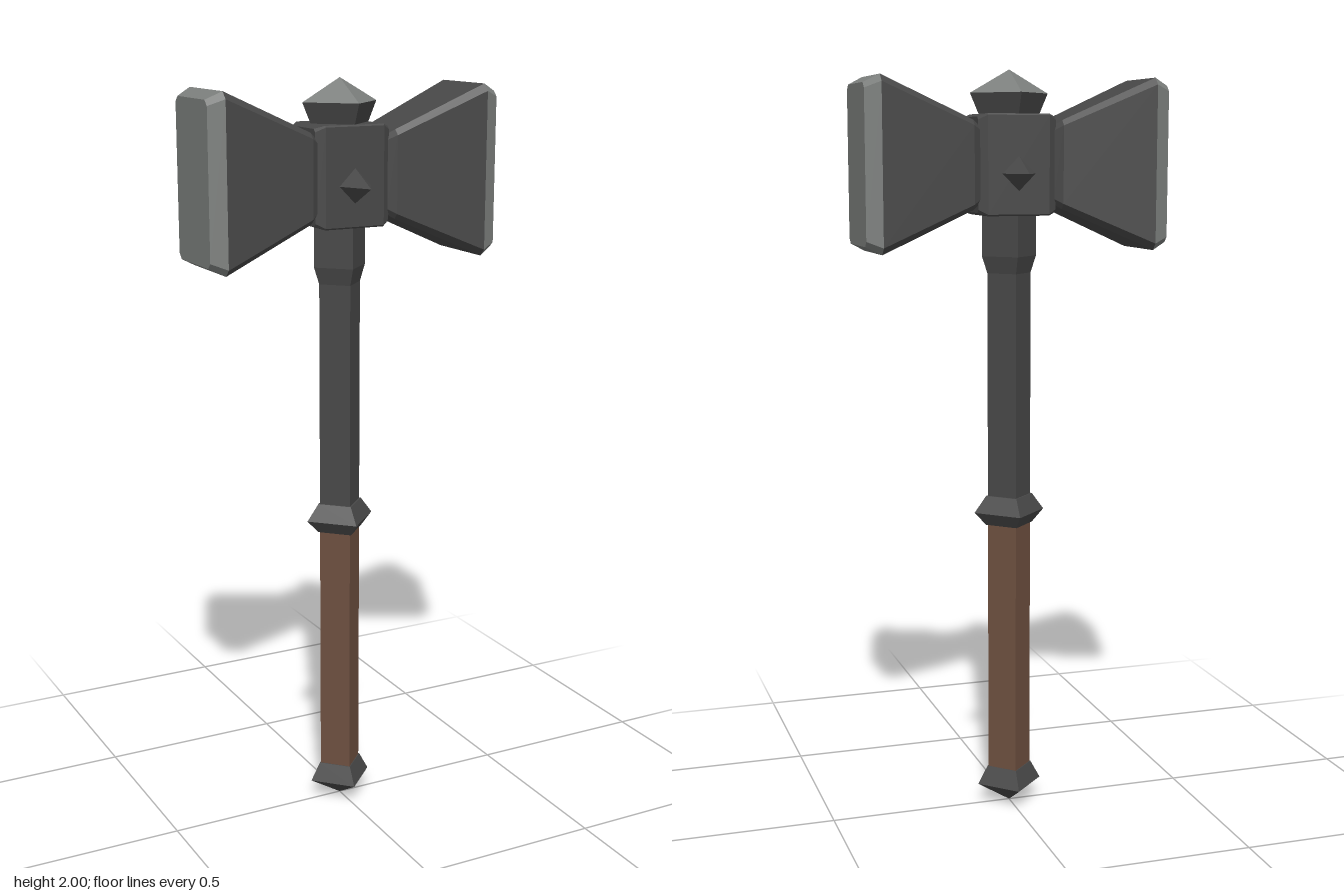
import * as THREE from 'three';

const makeMaterial = (name, color) => {
  const m = new THREE.MeshStandardMaterial({ color, flatShading: true });
  m.name = name;
  return m;
};

// Loft of chamfered rectangles along x; each section is [x, half height, half depth, corner cut]
function loft(sections, capStart, capEnd) {
  const rings = sections.map(([x, h, d, c]) => [
    [-d, -h + c], [-d, h - c], [-d + c, h], [d - c, h],
    [d, h - c], [d, -h + c], [d - c, -h], [-d + c, -h],
  ].map(([z, y]) => [x, y, z]));
  const pos = [];
  const tri = (a, b, c) => pos.push(...a, ...b, ...c);
  for (let i = 0; i < rings.length - 1; i++) {
    const a = rings[i], b = rings[i + 1];
    for (let j = 0; j < 8; j++) {
      const k = (j + 1) % 8;
      tri(a[j], a[k], b[j]);
      tri(a[k], b[k], b[j]);
    }
  }
  const first = rings[0], last = rings[rings.length - 1];
  for (let j = 1; j < 7; j++) {
    if (capStart) tri(first[0], first[j + 1], first[j]);
    if (capEnd) tri(last[0], last[j], last[j + 1]);
  }
  const g = new THREE.BufferGeometry();
  g.setAttribute('position', new THREE.Float32BufferAttribute(pos, 3));
  g.computeVertexNormals();
  return g;
}

// Four-sided turned part with its corners on the x and z axes
const diamondLathe = (points) =>
  new THREE.LatheGeometry(points.map(([r, y]) => new THREE.Vector2(r, y)), 4);

export function createModel() {
  const iron = makeMaterial('darkIron', 0x484848);
  const steel = makeMaterial('lightSteel', 0x7c7f7d);
  const leather = makeMaterial('brownLeather', 0x6e5040);

  const model = new THREE.Group();
  model.name = 'warHammer';
  const add = (name, geometry, material, parent = model) => {
    const mesh = new THREE.Mesh(geometry, material);
    mesh.name = name;
    parent.add(mesh);
    return mesh;
  };

  // Handle, from the bottom up
  add('pommel', diamondLathe([[0, 0], [0.09, 0.055], [0.063, 0.105], [0, 0.105]]), iron);
  add('grip', diamondLathe([[0.06, 0.1], [0.06, 0.8]]), leather);
  add('guardRing', diamondLathe([[0, 0.795], [0.065, 0.795], [0.098, 0.83], [0.065, 0.875], [0, 0.875]]), iron);
  add('shaft', diamondLathe([[0.06, 0.87], [0.06, 1.475], [0.075, 1.52], [0.075, 1.64]]), iron);

  // Central block with bevelled ends
  const midY = 1.757;
  add('hub', loft([
    [-0.105, 0.122, 0.07, 0.008], [-0.083, 0.13, 0.086, 0.004],
    [0.083, 0.13, 0.086, 0.004], [0.105, 0.122, 0.07, 0.008],
  ], true, true), iron).position.y = midY;

  // Pointed cap on top
  add('capBase', diamondLathe([[0.08, 1.88], [0.106, 1.94]]), iron);
  add('capPoint', diamondLathe([[0.106, 1.94], [0, 2]]), steel);

  // Two flared hammer heads with steel striking faces
  for (const side of [1, -1]) {
    const head = new THREE.Group();
    head.name = side > 0 ? 'leftHead' : 'rightHead';
    head.position.y = midY;
    head.rotation.y = side > 0 ? 0 : Math.PI;
    model.add(head);
    add('headBody', loft([
      [0.1, 0.1, 0.073, 0.012], [0.12, 0.114, 0.09, 0.014], [0.367, 0.223, 0.121, 0.018],
    ], true, false), iron, head);
    add('strikingFace', loft([
      [0.367, 0.223, 0.121, 0.018], [0.407, 0.203, 0.1, 0.014],
    ], false, true), steel, head);
  }

  // Spikes on the front and back of the hub
  for (const side of [1, -1]) {
    const spike = add(side > 0 ? 'frontSpike' : 'backSpike', new THREE.ConeGeometry(0.045, 0.087, 4), iron);
    spike.rotation.x = side * Math.PI / 2;
    spike.position.set(0, 1.735, side * 0.1285);
  }

  return model;
}
